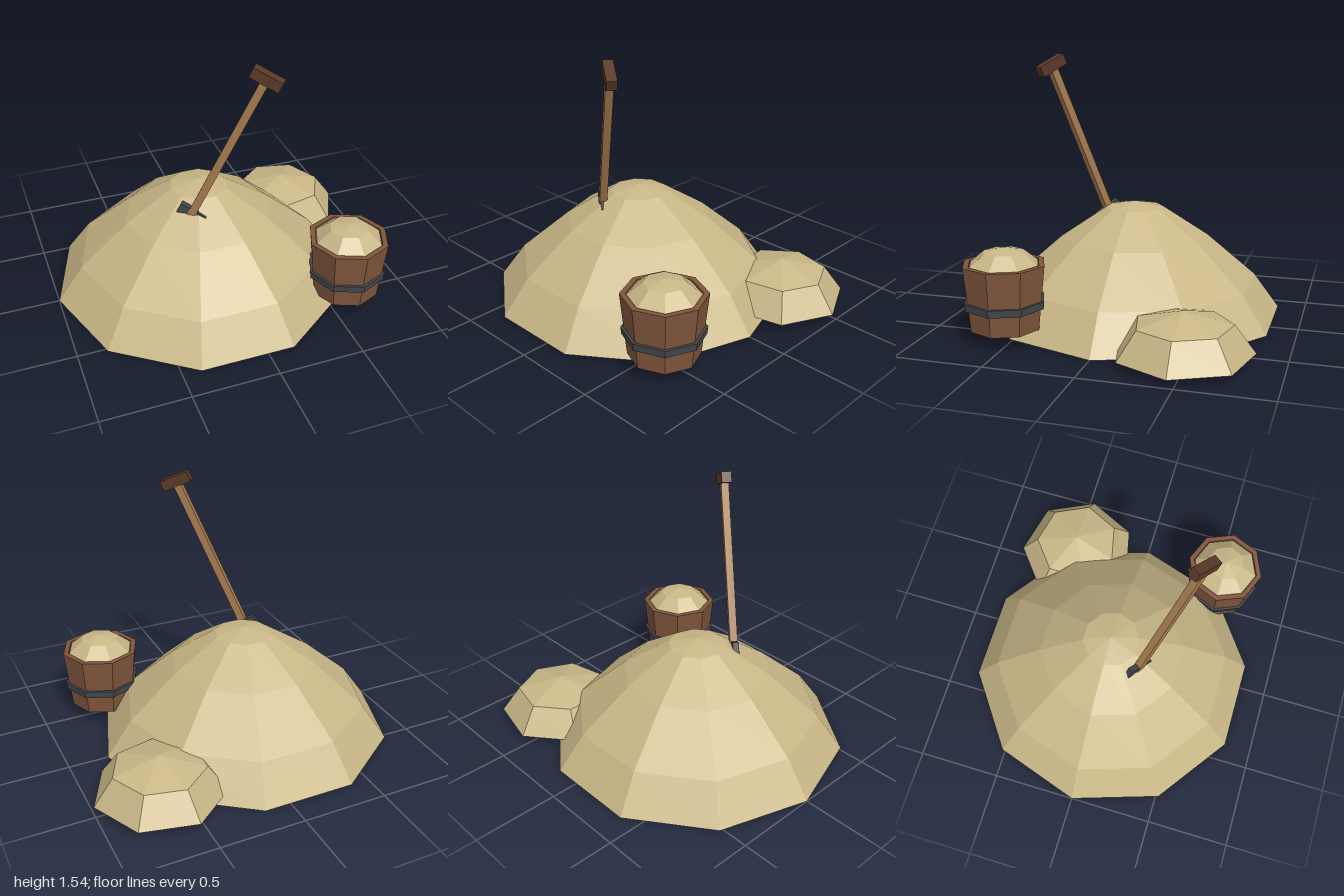
import * as THREE from 'three';

const mat = (name, color) => {
  const m = new THREE.MeshStandardMaterial({ color, flatShading: true });
  m.name = name;
  return m;
};

export function createModel() {
  const sand = mat('sand', 0xc9b787);
  const wood = mat('bucketWood', 0x80563d);
  const shaftWood = mat('shaftWood', 0xa87c50);
  const darkWood = mat('gripWood', 0x5a3a28);
  const iron = mat('iron', 0x43474b);

  const model = new THREE.Group();
  model.name = 'sandPileWithBucketAndShovel';

  const add = (parent, name, geometry, material, x = 0, y = 0, z = 0) => {
    const mesh = new THREE.Mesh(geometry, material);
    mesh.name = name;
    mesh.position.set(x, y, z);
    parent.add(mesh);
    return mesh;
  };

  // Faceted solid of revolution with a corner pointing along +x
  const faceted = (profile, sides) => new THREE.LatheGeometry(
    profile.map(([r, y]) => new THREE.Vector2(r, y)), sides, Math.PI / 2);

  // Sand mounds
  add(model, 'largeMound', faceted(
    [[0, 0], [0.882, 0], [0.73, 0.21], [0.44, 0.46], [0.17, 0.637], [0, 0.672]], 10),
  sand, -0.118, 0, 0);
  add(model, 'smallMound', faceted(
    [[0, 0.04], [0.38, 0.04], [0.267, 0.195], [0, 0.267]], 7),
  sand, 0.617, 0, -0.465);

  // Bucket: outer wall, rim and inner wall, with an iron hoop and heaped sand
  const bucket = new THREE.Group();
  bucket.name = 'bucket';
  bucket.position.set(0.61, 0, 0.535);
  model.add(bucket);
  add(bucket, 'bucketWall', faceted(
    [[0, 0.08], [0.197, 0.08], [0.235, 0.442], [0.203, 0.442], [0.197, 0.38]], 8), wood);
  add(bucket, 'bucketHoop', faceted(
    [[0.205, 0.2], [0.226, 0.2], [0.23, 0.242], [0.208, 0.242]], 8), iron);
  add(bucket, 'bucketSand', faceted(
    [[0.2, 0.425], [0.198, 0.436], [0.115, 0.506], [0, 0.53]], 8), sand);

  // Shovel: local y runs up the shaft, local x lies in the plane of the lean
  const shovel = new THREE.Group();
  shovel.name = 'shovel';
  shovel.position.set(-0.216, 0.6, 0.203);
  shovel.rotation.set(0, -0.61, -0.428, 'YXZ');
  model.add(shovel);
  add(shovel, 'shaft', new THREE.BoxGeometry(0.045, 0.99, 0.045), shaftWood, 0, 0.445, 0);
  add(shovel, 'grip', new THREE.BoxGeometry(0.174, 0.062, 0.058), darkWood, 0, 0.967, 0);
  add(shovel, 'blade', new THREE.BoxGeometry(0.165, 0.22, 0.035), iron, 0, -0.1, 0);

  return model;
}
